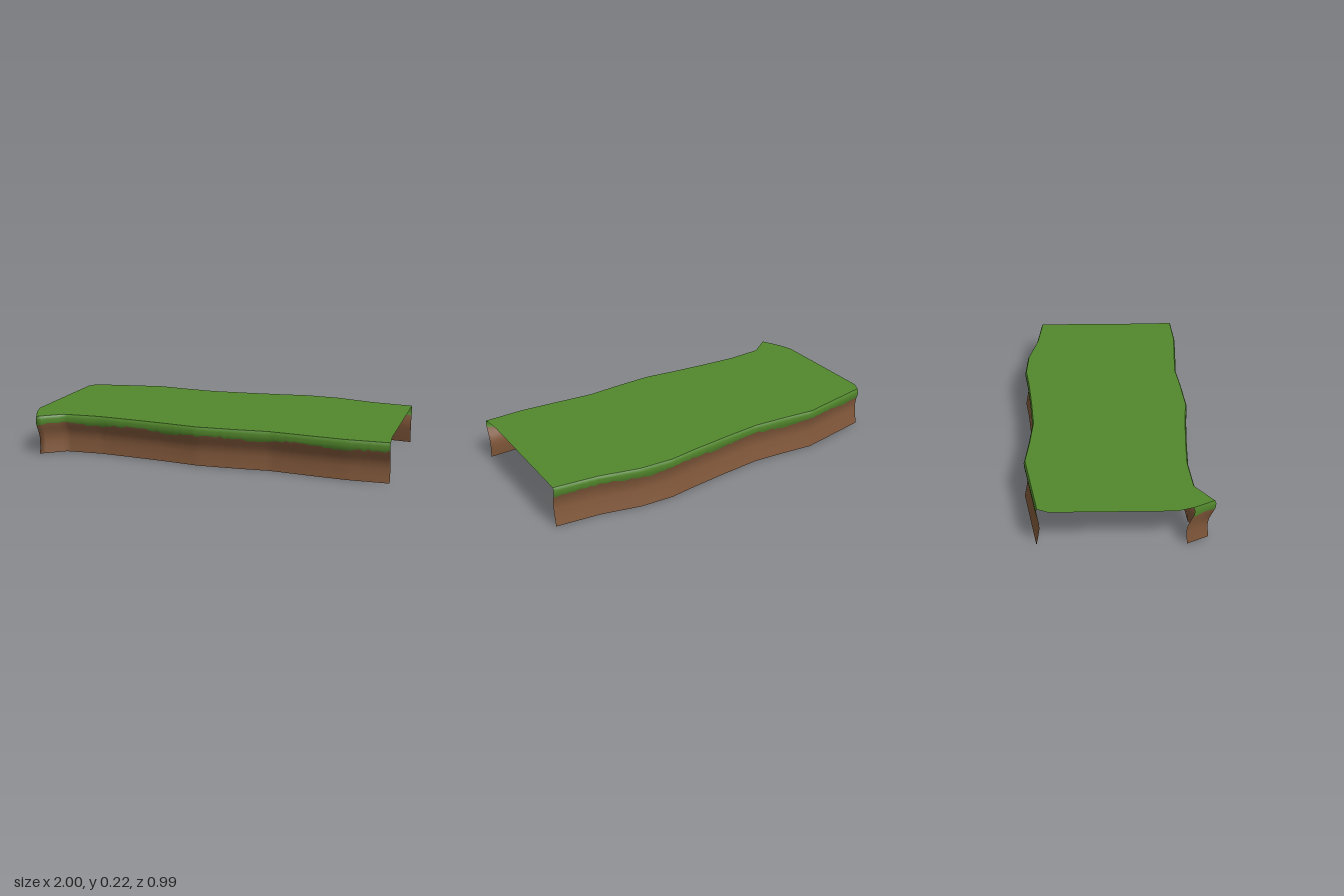
import * as THREE from 'three';

const TOP = 0.217;
// plan outlines of the two long walls, [x, z]
const FRONT = [[-0.975, 0.385], [-0.92, 0.493], [-0.8, 0.402], [-0.6, 0.386], [-0.4, 0.396], [-0.2, 0.41],
  [-0.02, 0.428], [0.2, 0.413], [0.37, 0.396], [0.6, 0.411], [0.78, 0.42], [0.995, 0.41]];
const BACK = [[-0.975, -0.373], [-0.57, -0.452], [-0.4, -0.437], [-0.21, -0.426], [0, -0.447], [0.2, -0.471],
  [0.36, -0.496], [0.54, -0.49], [0.75, -0.445], [0.985, -0.425]];
// wall profiles, [y, outward offset]
const FRONT_PROFILE = [[0, -0.028], [0.04, -0.033], [0.08, -0.035], [0.11, -0.03], [0.14, -0.017],
  [0.16, -0.007], [0.18, 0], [0.205, 0], [TOP, -0.007]];
const BACK_PROFILE = [[0, 0], [0.05, -0.01], [0.1, -0.018], [0.13, -0.017], [0.155, -0.012],
  [0.18, -0.004], [0.205, -0.003], [TOP, -0.01]];

// straight-line lookup in a list of pairs
function lookup(pairs, t) {
  let i = 1;
  while (i < pairs.length - 1 && t > pairs[i][0]) i++;
  const [a, b] = [pairs[i - 1], pairs[i]];
  return a[1] + (b[1] - a[1]) * (t - a[0]) / (b[0] - a[0]);
}

function seeded(seed) {
  return () => (seed = (seed * 16807) % 2147483647) / 2147483647;
}

// wavy earth wall with a ragged grass fringe; side is +1 for front, -1 for back
function makeWall(outline, profile, side, materials, seed) {
  const random = seeded(seed);
  const xs = [outline[0][0]];
  for (let i = 1; i < outline.length; i++) {
    const [a, b] = [outline[i - 1][0], outline[i][0]];
    const n = Math.max(2, Math.round((b - a) / 0.022));
    for (let k = 1; k <= n; k++) xs.push(a + (b - a) * k / n);
  }
  const earthRows = 12, grassRows = 6, rows = earthRows + grassRows;
  const positions = [];
  for (const x of xs) {
    const fringe = 0.167 + 0.006 * Math.sin(x * 14 + seed) + 0.014 * (random() - 0.5);
    for (let j = 0; j <= rows; j++) {
      const y = j <= earthRows ? fringe * j / earthRows : fringe + (TOP - fringe) * (j - earthRows) / grassRows;
      positions.push(x, y, lookup(outline, x) + side * lookup(profile, y));
    }
  }
  const index = [];
  const addRows = (from, to) => {
    for (let i = 0; i < xs.length - 1; i++) {
      for (let j = from; j < to; j++) {
        const a = i * (rows + 1) + j, b = a + rows + 1;
        if (side > 0) index.push(a, b, b + 1, a, b + 1, a + 1);
        else index.push(a, b + 1, b, a, a + 1, b + 1);
      }
    }
  };
  addRows(0, earthRows);
  const split = index.length;
  addRows(earthRows, rows);
  const geometry = new THREE.BufferGeometry();
  geometry.setAttribute('position', new THREE.Float32BufferAttribute(positions, 3));
  geometry.setIndex(index);
  geometry.addGroup(0, split, 0);
  geometry.addGroup(split, index.length - split, 1);
  geometry.computeVertexNormals();
  return new THREE.Mesh(geometry, materials);
}

export function createModel() {
  const group = new THREE.Group();
  group.name = 'grassyGroundBlock';
  const earth = new THREE.MeshStandardMaterial({ color: 0x80573a, side: THREE.DoubleSide });
  earth.name = 'earth';
  const grass = new THREE.MeshStandardMaterial({ color: 0x52872c, side: THREE.DoubleSide });
  grass.name = 'grass';

  // long walls
  const front = makeWall(FRONT, FRONT_PROFILE, 1, [earth, grass], 7);
  front.name = 'frontWall';
  const back = makeWall(BACK, BACK_PROFILE, -1, [earth, grass], 23);
  back.name = 'backWall';

  // grass sheet joining the wall tops, open at both ends
  const frontEdge = FRONT.map(([x, z]) => [x, z + FRONT_PROFILE.at(-1)[1]]);
  const backEdge = BACK.map(([x, z]) => [x, z - BACK_PROFILE.at(-1)[1]]).reverse();
  const outline = [[-1, 0.3], ...frontEdge, [0.985, 0.29], ...backEdge, [-1, -0.31]];
  const sheet = new THREE.ShapeGeometry(new THREE.Shape(outline.map(([x, z]) => new THREE.Vector2(x, -z))));
  sheet.rotateX(-Math.PI / 2).translate(0, TOP, 0);
  const top = new THREE.Mesh(sheet, grass);
  top.name = 'grassTop';

  group.add(front, back, top);
  return group;
}
